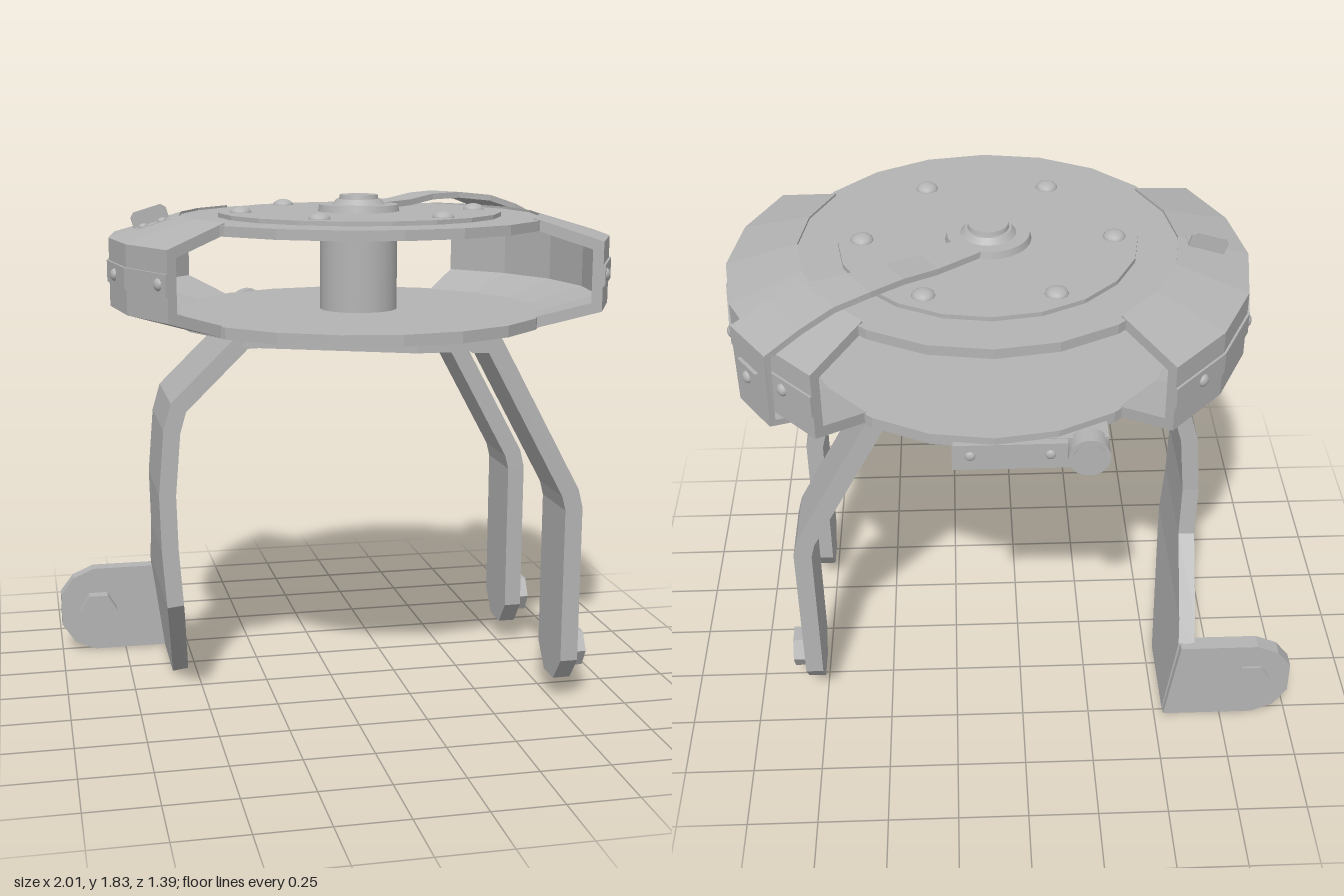
import * as THREE from 'three';

const CX = 0.1, CZ = 0.015; // axis of the drum

export function createModel() {
  const steel = new THREE.MeshStandardMaterial({ color: 0xb4b4b4 });
  steel.name = 'greySteel';
  const flat = g => { const n = g.index ? g.toNonIndexed() : g; n.computeVertexNormals(); return n; };
  const root = new THREE.Group();
  root.name = 'drumOnLegs';

  const add = (name, geo, x = 0, y = 0, z = 0, parent = root) => {
    const m = new THREE.Mesh(geo, steel);
    m.name = name;
    m.position.set(x, y, z);
    parent.add(m);
    return m;
  };

  // Skin a row of equal cross-section loops; each loop is an outer run then the inner run backwards.
  const loft = sections => {
    const n = sections[0].length, pos = [];
    const tri = (a, b, c) => pos.push(...a, ...b, ...c);
    const quad = (a, b, c, d) => { tri(a, b, c); tri(a, c, d); };
    for (let s = 0; s < sections.length - 1; s++)
      for (let i = 0; i < n; i++) {
        const j = (i + 1) % n, A = sections[s], B = sections[s + 1];
        quad(A[i], A[j], B[j], B[i]);
      }
    const A = sections[0], B = sections[sections.length - 1];
    for (let i = 0; i < n / 2 - 1; i++) {
      quad(A[i], A[n - 1 - i], A[n - 2 - i], A[i + 1]);
      quad(B[i], B[i + 1], B[n - 2 - i], B[n - 1 - i]);
    }
    // turn the faces outward if the volume comes out negative
    let vol = 0;
    for (let k = 0; k < pos.length; k += 9) {
      const [a, b, c] = [0, 3, 6].map(o => new THREE.Vector3(pos[k + o], pos[k + o + 1], pos[k + o + 2]));
      vol += a.dot(b.cross(c));
    }
    if (vol < 0)
      for (let k = 0; k < pos.length; k += 9)
        for (let q = 0; q < 3; q++) [pos[k + 3 + q], pos[k + 6 + q]] = [pos[k + 6 + q], pos[k + 3 + q]];
    const g = new THREE.BufferGeometry();
    g.setAttribute('position', new THREE.Float32BufferAttribute(pos, 3));
    g.computeVertexNormals();
    return g;
  };

  // Bent flat bar: stations are [x, y, zFront, zBack] along its centre line
  const bar = (st, t) => loft(st.map(([x, y, zf, zb], i) => {
    const dir = k => new THREE.Vector2(st[k + 1][0] - st[k][0], st[k + 1][1] - st[k][1]).normalize();
    const d0 = dir(Math.max(i - 1, 0)), d1 = dir(Math.min(i, st.length - 2));
    const d = d0.clone().add(d1).normalize(), h = t / 2 / d.dot(d0);
    const nx = -d.y * h, ny = d.x * h;
    return [[x + nx, y + ny, zf], [x + nx, y + ny, zb], [x - nx, y - ny, zb], [x - nx, y - ny, zf]];
  }));

  // Part of a ring around the drum axis; side is 1 for +x and -1 for -x
  const sector = (profile, side, from, to, steps = 5) => loft(
    Array.from({ length: steps + 1 }, (_, i) => {
      const a = THREE.MathUtils.degToRad(from + (to - from) * i / steps);
      return profile.map(([r, y]) => [CX + side * r * Math.cos(a), y, CZ + r * Math.sin(a)]);
    }));

  const dome = (r, squash = 0.6) =>
    new THREE.SphereGeometry(r, 12, 5, 0, Math.PI * 2, 0, Math.PI / 2).scale(1, squash, 1);
  const disc = (r0, r1, h, n) => flat(new THREE.CylinderGeometry(r0, r1, h, n));

  // Drum plates, cover and hub
  add('topPlate', disc(0.675, 0.675, 0.035, 20), CX, 1.738, CZ);
  add('bottomPlate', disc(0.675, 0.675, 0.04, 20), CX, 1.398, CZ);
  add('coverDisc', disc(0.512, 0.512, 0.016, 20), CX, 1.763, CZ);
  add('hubColumn', new THREE.CylinderGeometry(0.14, 0.14, 0.33, 24), CX, 1.57, CZ);
  add('hubCollar', new THREE.CylinderGeometry(0.142, 0.148, 0.026, 24), CX, 1.782, CZ);
  add('hubBoss', new THREE.CylinderGeometry(0.08, 0.1, 0.025, 24), CX, 1.802, CZ);
  add('hubCap', new THREE.CylinderGeometry(0.068, 0.076, 0.04, 24), CX, 1.81, CZ);
  for (let i = 0; i < 6; i++) {
    const a = Math.PI + 0.01 + i * Math.PI / 3;
    add('coverRivet', dome(0.04, 0.6), CX + 0.43 * Math.cos(a), 1.769, CZ + 0.43 * Math.sin(a));
  }

  // Side housings with their riveted bands
  const shell = [[0.65, 1.764], [0.9, 1.69], [0.9, 1.45], [0.65, 1.375],
    [0.65, 1.415], [0.862, 1.478], [0.862, 1.662], [0.65, 1.724]];
  const band = [[0.898, 1.612], [0.908, 1.612], [0.908, 1.537], [0.898, 1.537]];
  for (const side of [1, -1]) {
    add('sideHousing', sector(shell, side, 34, -51));
    add('housingBand', sector(band, side, 34, -51));
    for (const deg of [31, 8.5, -16, -42]) {
      const a = THREE.MathUtils.degToRad(deg), r = 0.9;
      const rivet = add('bandRivet', dome(0.022, 0.7), CX + side * r * Math.cos(a), 1.575, CZ + r * Math.sin(a));
      rivet.rotation.set(0, -Math.atan2(Math.sin(a), side * Math.cos(a)), -Math.PI / 2);
    }
  }

  // Arm from the hub, over the edge and under the drum
  const arm = new THREE.Group();
  arm.name = 'clampArm';
  arm.position.set(CX, 0, CZ);
  arm.rotation.y = 0.588;
  root.add(arm);
  add('armStrap', bar([[0.1, 1.785, 0.02, -0.1], [0.28, 1.788, 0.0, -0.115], [0.42, 1.803, -0.01, -0.125],
    [0.55, 1.805, 0.01, -0.135], [0.68, 1.79, 0.06, -0.125], [0.8, 1.752, 0.09, -0.12],
    [0.922, 1.7, 0.11, -0.115], [0.922, 1.44, 0.1, -0.1], [0.6, 1.368, 0.09, -0.09]], 0.022), 0, 0, 0, arm);
  add('armTab', new THREE.BoxGeometry(0.014, 0.08, 0.12), 0.938, 1.575, 0, arm);
  add('armBolt', dome(0.022, 0.7), 0.944, 1.575, 0, arm).rotation.z = -Math.PI / 2;

  // Small clip on the housing
  const clip = new THREE.Group();
  clip.name = 'housingClip';
  clip.position.set(-0.645, 1.74, 0.005);
  clip.rotation.z = 0.29;
  root.add(clip);
  add('clipBase', new THREE.BoxGeometry(0.13, 0.014, 0.075), 0, -0.01, 0, clip);
  const flap = new THREE.Shape([[-0.065, 0], [0.065, 0], [0.065, 0.045], [0.05, 0.06], [-0.05, 0.06], [-0.065, 0.045]]
    .map(p => new THREE.Vector2(...p)));
  add('clipFlap', new THREE.ExtrudeGeometry(flap, { depth: 0.014, bevelEnabled: false }), 0, -0.01, -0.038, clip);
  for (const x of [-0.035, 0.035]) add('clipRivet', dome(0.017), x, -0.003, 0.005, clip);

  // Mounting plate under the drum
  const plate = new THREE.Shape([[0.47, -0.48], [0.47, 0.42], [0.2, 0.42], [-0.36, 0.165], [-0.36, -0.235], [0.2, -0.48]]
    .map(p => new THREE.Vector2(...p)));
  add('mountPlate', new THREE.ExtrudeGeometry(plate, { depth: 0.058, bevelEnabled: false }), 0, 1.32, 0).rotation.x = -Math.PI / 2;

  // Latch box at the back
  add('latchBox', new THREE.BoxGeometry(0.51, 0.12, 0.26), -0.015, 1.335, -0.505);
  add('latchCover', new THREE.BoxGeometry(0.37, 0.085, 0.03), 0.05, 1.35, -0.647);
  for (const x of [-0.08, 0.18])
    add('latchRivet', dome(0.018), x, 1.35, -0.661).rotation.x = -Math.PI / 2;
  const knob = add('latchKnob', new THREE.CylinderGeometry(0.07, 0.07, 0.07, 20), -0.205, 1.348, -0.65);
  knob.rotation.x = Math.PI / 2;
  add('latchKnobFace', new THREE.CylinderGeometry(0.055, 0.06, 0.015, 20), -0.205, 1.348, -0.69).rotation.x = Math.PI / 2;

  // Pair of narrow legs with hex bolts
  for (const [zf, zb] of [[0.48, 0.24], [-0.17, -0.42]]) {
    add('narrowLeg', bar([[0.4, 1.347, zf, zb], [0.475, 1.345, zf, zb], [0.77, 0.8, zf, zb], [0.785, 0.74, zf, zb],
      [0.785, 0.17, zf, zb], [0.785, 0.08, zf - 0.07, zb + 0.07]], 0.064));
    add('legBolt', disc(0.075, 0.075, 0.05, 6), 0.842, 0.185, (zf + zb) / 2).rotation.set(0, 0, Math.PI / 2);
  }

  // Wide leg, swept back towards its foot
  add('wideLeg', bar([[-0.28, 1.347, 0.235, -0.165], [-0.355, 1.345, 0.235, -0.165], [-0.59, 1.115, 0.235, -0.165],
    [-0.615, 1.03, 0.235, -0.165], [-0.635, 0.8, 0.235, -0.165], [-0.63, 0.6, 0.235, -0.18],
    [-0.615, 0.39, 0.235, -0.43], [-0.607, 0.335, 0.18, -0.5], [-0.562, 0.0, -0.165, -0.5]], 0.06));

  // Foot tab with a rounded end and a bolt through it
  const tab = new THREE.Shape([[-0.535, 0], [-0.87, 0], [-0.95, 0.035], [-1, 0.11], [-1, 0.235], [-0.95, 0.3],
    [-0.87, 0.335], [-0.585, 0.335]].map(p => new THREE.Vector2(...p)));
  add('footTab', new THREE.ExtrudeGeometry(tab, { depth: 0.06, bevelEnabled: false }), 0, 0, -0.527);
  const bolt = add('footBolt', disc(0.073, 0.073, 0.116, 6), -0.855, 0.172, -0.476);
  bolt.rotation.set(Math.PI / 2, Math.PI / 6, 0);

  return root;
}
